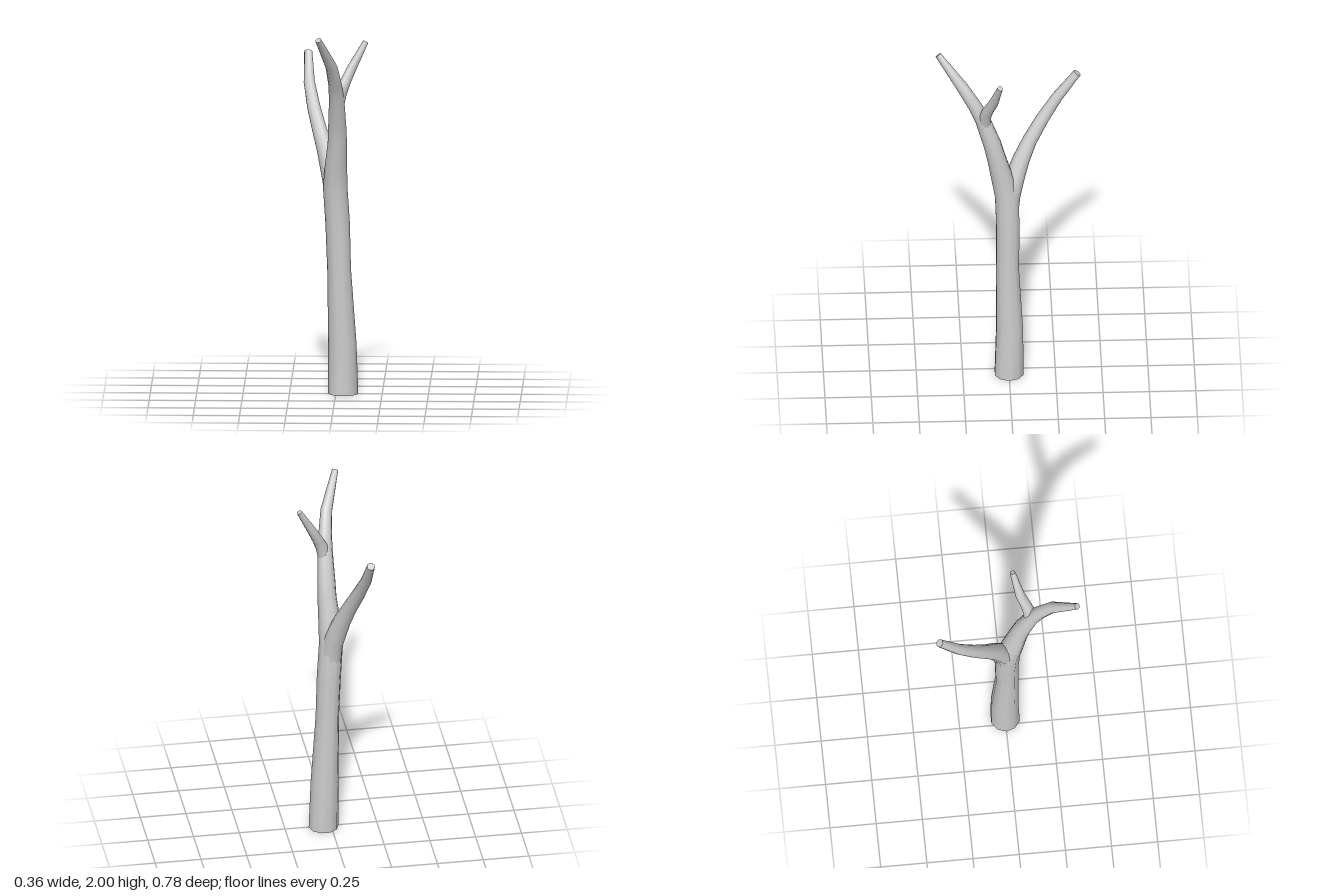
import * as THREE from 'three';

const SIDES = 10;
const material = new THREE.MeshStandardMaterial({ color: 0xcccccc });

// Sweeps a round section along stations of [x, y, z, radius]
function limb(name, stations) {
  const centres = stations.map(([x, y, z]) => new THREE.Vector3(x, y, z));
  const last = centres.length - 1;
  const positions = [], indices = [];
  const side = new THREE.Vector3(1, 0, 0);
  const rings = centres.map((c, i) => {
    const dir = centres[Math.min(i + 1, last)].clone().sub(centres[Math.max(i - 1, 0)]).normalize();
    if (i === 0) dir.set(0, 1, 0); // level cut at the foot
    side.addScaledVector(dir, -side.dot(dir)).normalize();
    const other = side.clone().cross(dir);
    return Array.from({ length: SIDES }, (_, k) => {
      const a = (k / SIDES) * Math.PI * 2;
      return c.clone()
        .addScaledVector(side, Math.cos(a) * stations[i][3])
        .addScaledVector(other, Math.sin(a) * stations[i][3]);
    });
  });
  rings.forEach(ring => ring.forEach(p => positions.push(...p)));
  for (let i = 0; i < last; i++) {
    for (let k = 0; k < SIDES; k++) {
      const a = i * SIDES + k, b = i * SIDES + ((k + 1) % SIDES);
      indices.push(a, a + SIDES, b, b, a + SIDES, b + SIDES);
    }
  }
  // Flat caps with their own vertices keep the rims sharp
  [[0, 1], [last, -1]].forEach(([i, turn]) => {
    const start = positions.length / 3;
    positions.push(...centres[i]);
    rings[i].forEach(p => positions.push(...p));
    for (let k = 0; k < SIDES; k++) {
      const a = start + 1 + k, b = start + 1 + ((k + 1) % SIDES);
      if (turn > 0) indices.push(start, a, b);
      else indices.push(start, b, a);
    }
  });
  const geometry = new THREE.BufferGeometry();
  geometry.setAttribute('position', new THREE.Float32BufferAttribute(positions, 3));
  geometry.setIndex(indices);
  geometry.computeVertexNormals();
  const mesh = new THREE.Mesh(geometry, material);
  mesh.name = name;
  return mesh;
}

export function createModel() {
  const tree = new THREE.Group();
  tree.name = 'bareTree';

  // Trunk running on into the tall front branch
  tree.add(limb('trunk', [
    [0.04, 0, 0, 0.081],
    [0.035, 0.28, -0.003, 0.076],
    [0.018, 0.68, 0.008, 0.064],
    [0.01, 0.93, 0.005, 0.066],
    [-0.003, 1.13, 0.012, 0.066],
    [0.002, 1.25, 0.038, 0.06],
    [0.01, 1.38, 0.068, 0.052],
    [0.01, 1.47, 0.09, 0.049],
    [0.008, 1.63, 0.143, 0.041],
    [0, 1.72, 0.188, 0.036],
    [-0.016, 1.82, 0.248, 0.032],
    [-0.085, 1.99, 0.378, 0.017],
  ]));

  // Branch leaving the fork toward the back
  tree.add(limb('backBranch', [
    [0, 1.0, 0.003, 0.055],
    [-0.006, 1.13, -0.005, 0.06],
    [-0.03, 1.22, -0.033, 0.054],
    [-0.057, 1.32, -0.068, 0.047],
    [-0.09, 1.42, -0.115, 0.04],
    [-0.122, 1.53, -0.18, 0.036],
    [-0.15, 1.66, -0.266, 0.03],
    [-0.158, 1.808, -0.374, 0.022],
  ]));

  // Small twig on the left side of the front branch
  tree.add(limb('sideTwig', [
    [0.015, 1.58, 0.128, 0.03],
    [0.028, 1.66, 0.13, 0.034],
    [0.052, 1.715, 0.113, 0.029],
    [0.085, 1.785, 0.085, 0.026],
    [0.163, 1.932, 0.052, 0.015],
  ]));

  return tree;
}
